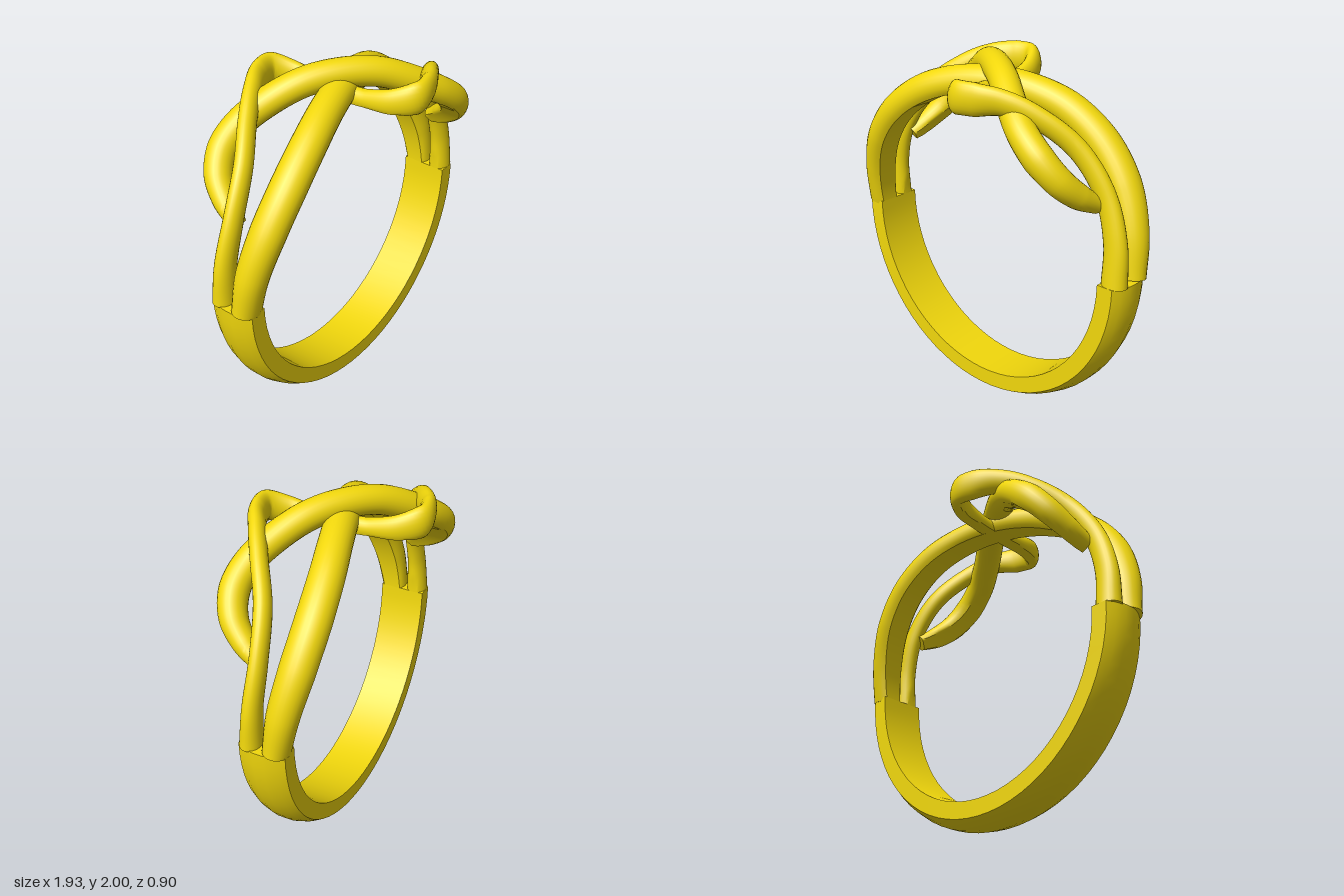
import * as THREE from 'three';
import { toCreasedNormals } from 'three/addons/utils/BufferGeometryUtils.js';

const CENTRE_Y = 0.96, INNER = 0.82;
const gold = new THREE.MeshStandardMaterial({ color: 0xf2d80c });
const goldCap = new THREE.MeshStandardMaterial({ color: 0xf2d80c, side: THREE.DoubleSide });

// One half of a strand, from the top centre to its end on the +x side:
// [angle from the top in degrees, radius, z, half width, half thickness].
// The other half is the same turned by 180 degrees about y.
const STRANDS = {
  wideStrand: [
    [0, 0.88, 0, 0.09, 0.085], [14, 0.88, -0.065, 0.09, 0.09], [28, 0.885, -0.12, 0.093, 0.092],
    [44, 0.885, -0.147, 0.096, 0.093], [60, 0.885, -0.137, 0.095, 0.093], [76, 0.882, -0.1, 0.086, 0.09],
    [90.5, 0.88, -0.068, 0.072, 0.088],
  ],
  loopStrand: [
    [0, 0.96, 0, 0.08, 0.08], [10, 0.95, 0.12, 0.08, 0.08], [21, 0.912, 0.235, 0.08, 0.08],
    [31, 0.89, 0.305, 0.08, 0.08], [41, 0.88, 0.32, 0.08, 0.085], [50, 0.87, 0.275, 0.075, 0.08],
    [57, 0.86, 0.18, 0.065, 0.07], [62, 0.86, 0.075, 0.045, 0.05],
  ],
  thinStrand: [
    [0, 0.848, 0, 0.045, 0.055], [0.5, 0.85, 0.14, 0.045, 0.055], [2, 0.872, 0.3, 0.045, 0.075],
    [6.5, 0.908, 0.4, 0.047, 0.09], [13, 0.93, 0.385, 0.047, 0.09], [20.5, 0.96, 0.315, 0.047, 0.07],
    [30.5, 0.963, 0.22, 0.046, 0.06], [44, 0.942, 0.11, 0.046, 0.06], [60, 0.92, 0.062, 0.045, 0.062],
    [76, 0.9, 0.065, 0.05, 0.068], [90.5, 0.885, 0.075, 0.06, 0.074],
  ],
};

// Sweeps an oval section along the strand and presses it flat against the finger hole
function strandGeometry(half) {
  const mirrored = half.slice(1).reverse().map(([a, r, z, w, h]) => [-a, r, -z, w, h]);
  const stations = [...mirrored, ...half];
  const path = new THREE.CatmullRomCurve3(stations.map(([a, r, z]) => {
    const t = THREE.MathUtils.degToRad(a);
    return new THREE.Vector3(r * Math.sin(t), r * Math.cos(t), z);
  }));
  const RINGS = 160, SIDES = 24;
  const pos = [], index = [];
  for (let i = -1; i <= RINGS + 1; i++) {
    const u = THREE.MathUtils.clamp(i / RINGS, 0, 1);
    const p = path.getPoint(u), tangent = path.getTangent(u);
    const radial = new THREE.Vector3(p.x, p.y, 0).normalize();
    const side = new THREE.Vector3().crossVectors(tangent, radial).normalize();
    const up = new THREE.Vector3().crossVectors(side, tangent).normalize();
    const f = u * (stations.length - 1), k = Math.min(Math.floor(f), stations.length - 2);
    const closed = i < 0 || i > RINGS ? 0 : 1; // end rings shrink to a point
    const w = closed * THREE.MathUtils.lerp(stations[k][3], stations[k + 1][3], f - k);
    const h = closed * THREE.MathUtils.lerp(stations[k][4], stations[k + 1][4], f - k);
    for (let j = 0; j < SIDES; j++) {
      const a = (j / SIDES) * Math.PI * 2;
      const v = p.clone().addScaledVector(side, w * Math.cos(a)).addScaledVector(up, h * Math.sin(a));
      const push = Math.max(1, INNER / Math.hypot(v.x, v.y));
      pos.push(v.x * push, v.y * push + CENTRE_Y, v.z);
    }
  }
  for (let i = 0; i < RINGS + 2; i++) {
    for (let j = 0; j < SIDES; j++) {
      const a = i * SIDES + j, b = i * SIDES + (j + 1) % SIDES;
      index.push(a, a + SIDES, b, b, a + SIDES, b + SIDES);
    }
  }
  const geo = new THREE.BufferGeometry();
  geo.setAttribute('position', new THREE.Float32BufferAttribute(pos, 3));
  geo.setIndex(index);
  return toCreasedNormals(geo, 0.7);
}

export function createModel() {
  const ring = new THREE.Group();
  ring.name = 'ring';
  const add = (name, geometry, material = gold) => {
    const mesh = new THREE.Mesh(geometry, material);
    mesh.name = name;
    ring.add(mesh);
    return mesh;
  };

  // Lower half of the band: flat inside and sides, gently domed outside
  const profile = [
    [INNER, -0.135], [0.915, -0.135], [0.94, -0.09], [0.957, -0.03], [0.957, 0.03],
    [0.94, 0.09], [0.915, 0.135], [INNER, 0.135], [INNER, -0.135],
  ].map(([r, z]) => new THREE.Vector2(r, z));
  const band = new THREE.LatheGeometry(profile, 36, -Math.PI / 2, Math.PI);
  band.deleteAttribute('normal');
  band.deleteAttribute('uv');
  band.rotateX(Math.PI / 2);
  add('band', toCreasedNormals(band, 0.6)).position.y = CENTRE_Y;

  // Flat ends of the band, where the strands grow out
  for (const s of [1, -1]) {
    const cap = new THREE.ShapeGeometry(new THREE.Shape(profile.slice(0, -1)));
    cap.rotateX(s * -Math.PI / 2);
    if (s < 0) cap.rotateY(Math.PI);
    add(s > 0 ? 'leftBandEnd' : 'rightBandEnd', cap, goldCap).position.y = CENTRE_Y;
  }

  // Three interlaced strands over the top
  for (const [name, half] of Object.entries(STRANDS)) add(name, strandGeometry(half));

  return ring;
}
